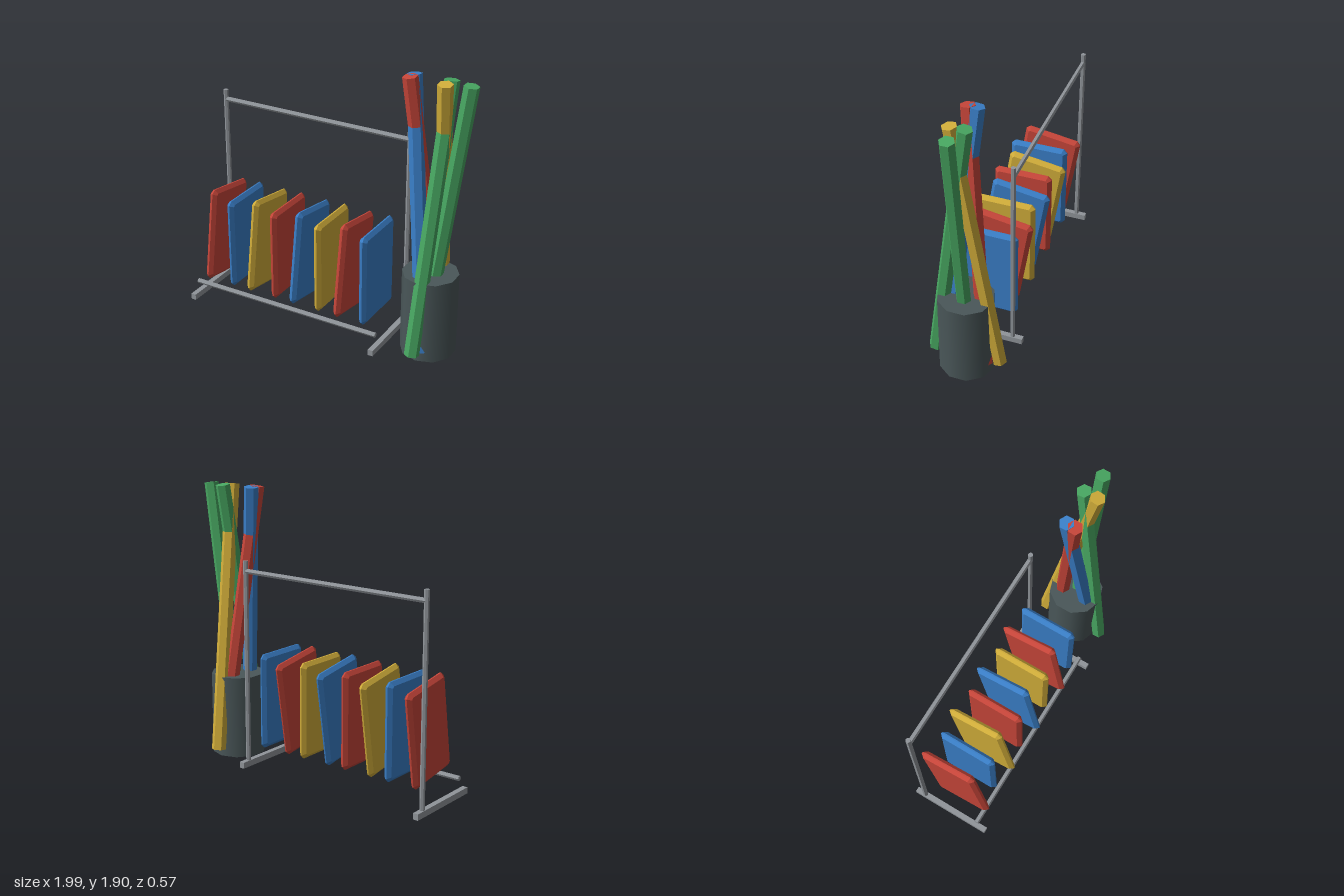
import * as THREE from 'three';

function material(name, color, flat = true) {
  const m = new THREE.MeshStandardMaterial({ color });
  m.name = name;
  m.flatShading = flat;
  return m;
}

// Bevelled slab with clipped corners, thin along x
function slabGeometry(width, height, thickness) {
  const bevel = 0.025, depth = 0.01, clip = 0.012;
  const w = width / 2 - bevel, h = height / 2 - bevel;
  const shape = new THREE.Shape([
    [w - clip, -h], [w, -h + clip], [w, h - clip], [w - clip, h],
    [-w + clip, h], [-w, h - clip], [-w, -h + clip], [-w + clip, -h],
  ].map(([x, y]) => new THREE.Vector2(x, y)));
  const g = new THREE.ExtrudeGeometry(shape, {
    depth, bevelEnabled: true, bevelSegments: 1,
    bevelSize: bevel, bevelThickness: (thickness - depth) / 2,
  });
  return g.translate(0, 0, -depth / 2).rotateY(Math.PI / 2);
}

export function createModel() {
  const model = new THREE.Group();
  model.name = 'rackWithPoles';
  const red = material('red', 0xc8463a);
  const blue = material('blue', 0x3a7fc8);
  const yellow = material('yellow', 0xd2ae3a);
  const green = material('green', 0x48a862);
  const metal = material('metal', 0x90959a);
  const slate = material('slate', 0x4a5759, false);

  const add = (parent, name, geometry, mat, x, y, z) => {
    const mesh = new THREE.Mesh(geometry, mat);
    mesh.name = name;
    mesh.position.set(x, y, z);
    parent.add(mesh);
    return mesh;
  };

  // Rack frame: two feet, two rear uprights, a high rear rail and a low front rail
  const rack = new THREE.Group();
  rack.name = 'rack';
  model.add(rack);
  const left = -0.975, right = 0.453;
  for (const x of [left, right]) {
    add(rack, 'foot', new THREE.BoxGeometry(0.037, 0.042, 0.57), metal, x, 0.021, 0);
    add(rack, 'upright', new THREE.CylinderGeometry(0.017, 0.017, 1.41, 6), metal, x, 0.725, -0.214);
  }
  const rail = new THREE.CylinderGeometry(0.017, 0.017, right - left, 6).rotateZ(Math.PI / 2);
  add(rack, 'topRail', rail, metal, (left + right) / 2, 1.361, -0.214);
  add(rack, 'bottomRail', rail, metal, (left + right) / 2, 0.119, 0.214);

  // Row of slabs, every other one leaning back
  const slabs = new THREE.Group();
  slabs.name = 'slabs';
  model.add(slabs);
  const slab = slabGeometry(0.412, 0.655, 0.055);
  const slabColors = [red, blue, yellow];
  for (let i = 0; i < 8; i++) {
    const mesh = add(slabs, 'slab', slab, slabColors[i % 3], -0.865 + i * 0.1717, 0.475, 0);
    if (i % 2 === 0) mesh.rotation.x = -0.155;
  }

  // Bin
  const binX = 0.734;
  add(model, 'bin', new THREE.CylinderGeometry(0.187, 0.187, 0.575, 10), slate, binX, 0.2875, 0);

  // Five hexagonal poles fanned around the bin
  const poles = new THREE.Group();
  poles.name = 'poles';
  model.add(poles);
  const up = new THREE.Vector3(0, 1, 0);
  [green, green, blue, red, yellow].forEach((mat, i) => {
    const a = (i * Math.PI * 2) / 5, c = Math.cos(a), s = Math.sin(a);
    const pole = add(poles, 'pole', new THREE.CylinderGeometry(0.05, 0.05, 1.85, 6), mat,
      binX + 0.092 * c, 0.975, 0.092 * s);
    const axis = new THREE.Vector3(0.125 * c, 0.92, -0.143 * s).normalize();
    pole.quaternion.setFromUnitVectors(up, axis);
  });

  return model;
}
